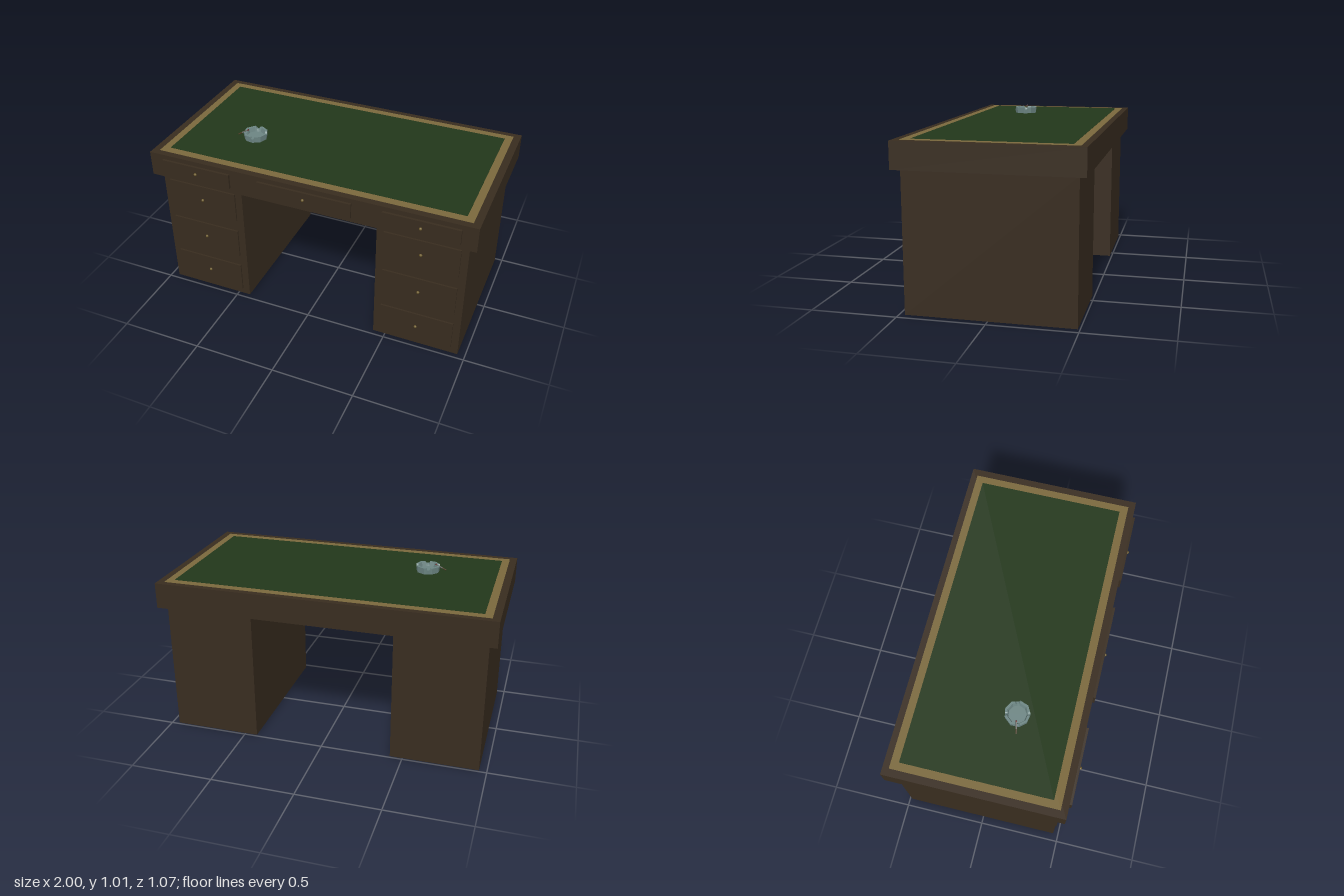
import * as THREE from 'three';

const mat = (color, extra = {}) => {
  const m = new THREE.MeshStandardMaterial(extra);
  m.color.set(color);
  return m;
};

export function createModel() {
  const desk = new THREE.Group();
  desk.name = 'desk';
  const wood = mat(0x382c1f);
  const trim = mat(0x7a683c);
  const leather = mat(0x22371a);
  const brass = mat(0x6e5c2c);
  const glass = mat(0x6c8583, { flatShading: true, side: THREE.DoubleSide });

  // Box given by its min and max corners
  const box = (name, material, [x0, y0, z0], [x1, y1, z1], parent = desk) => {
    const mesh = new THREE.Mesh(new THREE.BoxGeometry(x1 - x0, y1 - y0, z1 - z0), material);
    mesh.position.set((x0 + x1) / 2, (y0 + y1) / 2, (z0 + z1) / 2);
    mesh.name = name;
    parent.add(mesh);
    return mesh;
  };

  // Drawer front with a small round knob
  const drawer = (name, x, y, w, h, z, depth) => {
    const group = new THREE.Group();
    group.name = name;
    box('drawerFront', wood, [x - w / 2, y - h / 2, z - 0.01], [x + w / 2, y + h / 2, z + depth], group);
    const knob = new THREE.Mesh(new THREE.SphereGeometry(0.009, 12, 8), brass);
    knob.position.set(x, y, z + depth + 0.002);
    knob.name = 'knob';
    group.add(knob);
    desk.add(group);
  };

  // Table top with its trim band and writing surface
  box('tableTop', wood, [-1, 0.81, -0.53], [1, 0.964, 0.51]);
  box('trimBand', trim, [-0.957, 0.96, -0.493], [0.957, 0.9652, 0.47]);
  box('writingSurface', leather, [-0.912, 0.96, -0.448], [0.912, 0.9664, 0.423]);

  // Pedestals and drawers
  for (const side of [-1, 1]) {
    const prefix = side > 0 ? 'left' : 'right';
    const xs = [side * 0.424, side * 0.954].sort((a, b) => a - b);
    box(prefix + 'Pedestal', wood, [xs[0], 0, -0.487], [xs[1], 0.812, 0.468]);
    for (const y of [0.137, 0.405, 0.676]) drawer(prefix + 'Drawer', side * 0.69, y, 0.443, 0.19, 0.468, 0.01);
    drawer(prefix + 'TopDrawer', side * 0.69, 0.889, 0.443, 0.093, 0.511, 0.013);
  }
  drawer('middleDrawer', 0, 0.889, 0.575, 0.093, 0.511, 0.013);

  // Ashtray: nine-sided dish whose rim dips at four rests
  const ashtray = new THREE.Group();
  ashtray.name = 'ashtray';
  ashtray.position.set(-0.497, 0.966, 0.119);
  const profile = [[0, 0.001], [0.071, 0.001], [0.074, 0.039], [0.06, 0.039], [0.052, 0.012], [0, 0.012]];
  const dishGeo = new THREE.LatheGeometry(profile.map(p => new THREE.Vector2(...p)), 72);
  const pos = dishGeo.attributes.position;
  const step = (Math.PI * 2) / 9;
  for (let i = 0; i < pos.count; i++) {
    const x = pos.getX(i), z = pos.getZ(i), a = Math.atan2(z, x);
    const local = a - Math.round(a / step) * step;
    const k = Math.cos(step / 2) / Math.cos(step / 2 - Math.abs(local));
    pos.setX(i, x * k);
    pos.setZ(i, z * k);
    const quarter = a + 0.2 - Math.round((a + 0.2) / (Math.PI / 2)) * (Math.PI / 2);
    const dip = Math.sqrt(Math.max(0, 1 - (quarter / 0.2) ** 2)) * 0.013;
    if (pos.getY(i) > 0.03) pos.setY(i, pos.getY(i) - dip);
  }
  dishGeo.computeVertexNormals();
  const dish = new THREE.Mesh(dishGeo, glass);
  dish.name = 'dish';
  ashtray.add(dish);

  // Cigarette leaning over the rim, with a glowing end
  const rod = (name, from, to, radius, material) => {
    const a = new THREE.Vector3(...from), b = new THREE.Vector3(...to);
    const mesh = new THREE.Mesh(new THREE.CylinderGeometry(radius, radius, a.distanceTo(b), 10), material);
    mesh.position.copy(a).add(b).multiplyScalar(0.5);
    mesh.quaternion.setFromUnitVectors(new THREE.Vector3(0, 1, 0), b.sub(a).normalize());
    mesh.name = name;
    ashtray.add(mesh);
  };
  rod('cigaretteFilter', [-0.108, 0.009, 0.018], [-0.085, 0.022, 0.013], 0.004, mat(0x4a3a22));
  rod('cigarettePaper', [-0.085, 0.022, 0.013], [-0.05, 0.042, 0.006], 0.004, mat(0x6a6a66));
  rod('cigaretteEmber', [-0.05, 0.042, 0.006], [-0.045, 0.045, 0.005], 0.004, mat(0x6a1614));
  desk.add(ashtray);

  return desk;
}
